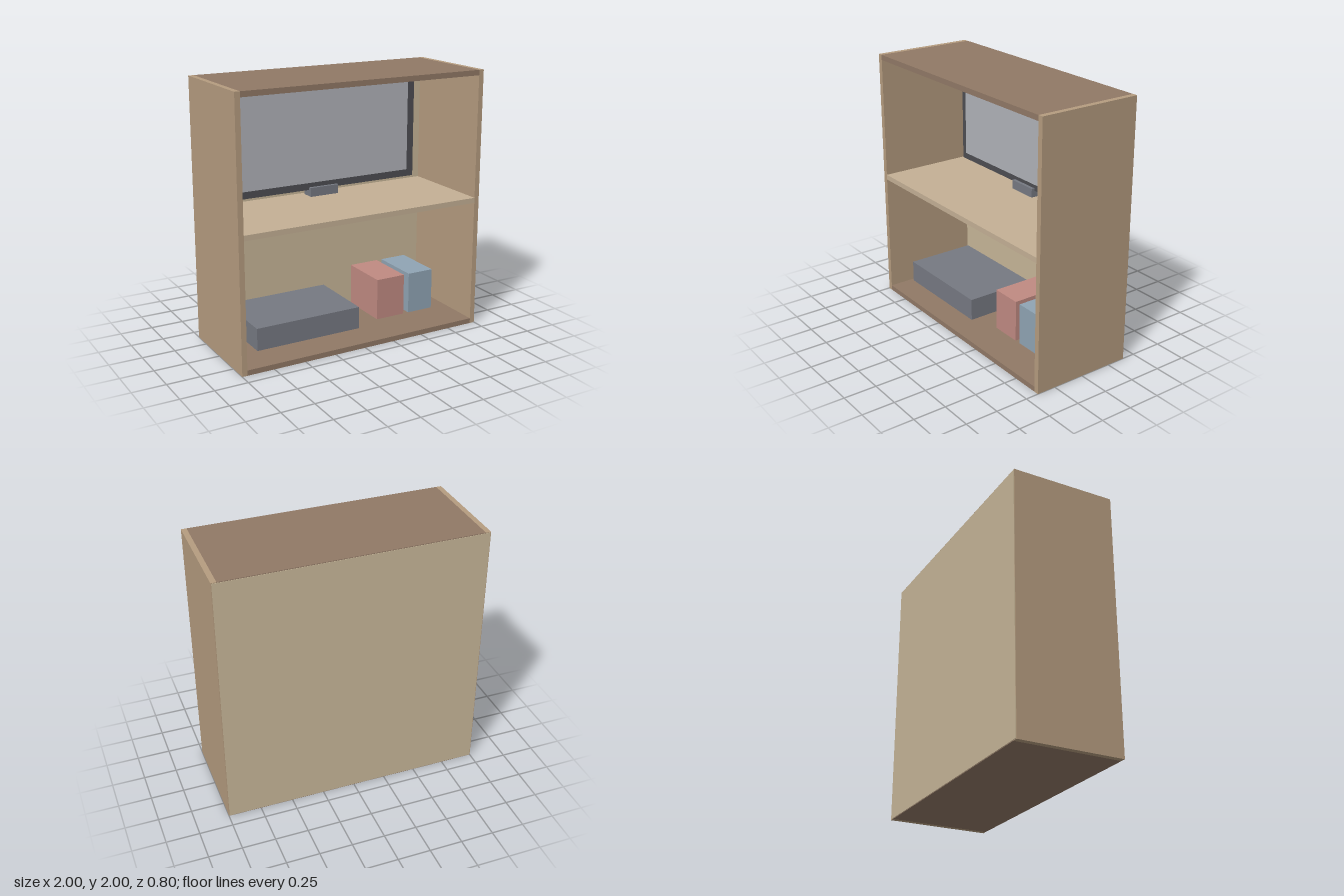
import * as THREE from 'three';

const COLORS = {
  side: 0xb59c7f, panel: 0x917966, back: 0xc7b698, shelf: 0xc4b095,
  frame: 0x4d4d52, screen: 0xb0b2b8, device: 0x767982, red: 0xc08a82, blue: 0x90a4b4,
};

export function createModel() {
  const model = new THREE.Group();
  model.name = 'mediaCabinet';

  // Box given by its [min, max] range along each axis
  function box(name, color, [x0, x1], [y0, y1], [z0, z1], parent = model) {
    const mesh = new THREE.Mesh(
      new THREE.BoxGeometry(x1 - x0, y1 - y0, z1 - z0),
      new THREE.MeshStandardMaterial({ color: COLORS[color] })
    );
    mesh.name = name;
    mesh.position.set((x0 + x1) / 2, (y0 + y1) / 2, (z0 + z1) / 2);
    parent.add(mesh);
    return mesh;
  }

  // Cabinet carcass: sides run full height, the other boards fit between them
  const cabinet = new THREE.Group();
  cabinet.name = 'cabinet';
  model.add(cabinet);
  const depth = [-0.397, 0.4];
  const inner = [-0.96, 0.96];
  box('leftSide', 'side', [0.96, 1], [0, 2], depth, cabinet);
  box('rightSide', 'side', [-1, -0.96], [0, 2], depth, cabinet);
  box('topPanel', 'panel', inner, [1.96, 2], depth, cabinet);
  box('bottomPanel', 'panel', inner, [0, 0.04], depth, cabinet);
  box('shelf', 'shelf', inner, [0.985, 1.025], depth, cabinet);
  box('backPanel', 'back', [-0.995, 0.995], [0.005, 1.995], [-0.4, -0.37], cabinet);

  // Television with a slightly raised screen and a small foot
  const television = new THREE.Group();
  television.name = 'television';
  model.add(television);
  box('televisionFrame', 'frame', [-0.82, 0.82], [1.08, 1.92], [-0.32, -0.245], television);
  box('televisionScreen', 'screen', [-0.75, 0.75], [1.14, 1.86], [-0.26, -0.225], television);
  box('televisionFoot', 'device', [-0.12, 0.12], [1.03, 1.1], [-0.32, -0.22], television);

  // Objects in the lower compartment
  box('mediaPlayer', 'device', [-0.82, 0.02], [0.105, 0.275], [-0.28, 0.27]);
  box('redBox', 'red', [0.23, 0.47], [0.105, 0.425], [-0.21, 0.19]);
  box('blueBox', 'blue', [0.515, 0.73], [0.105, 0.425], [-0.21, 0.19]);

  return model;
}
